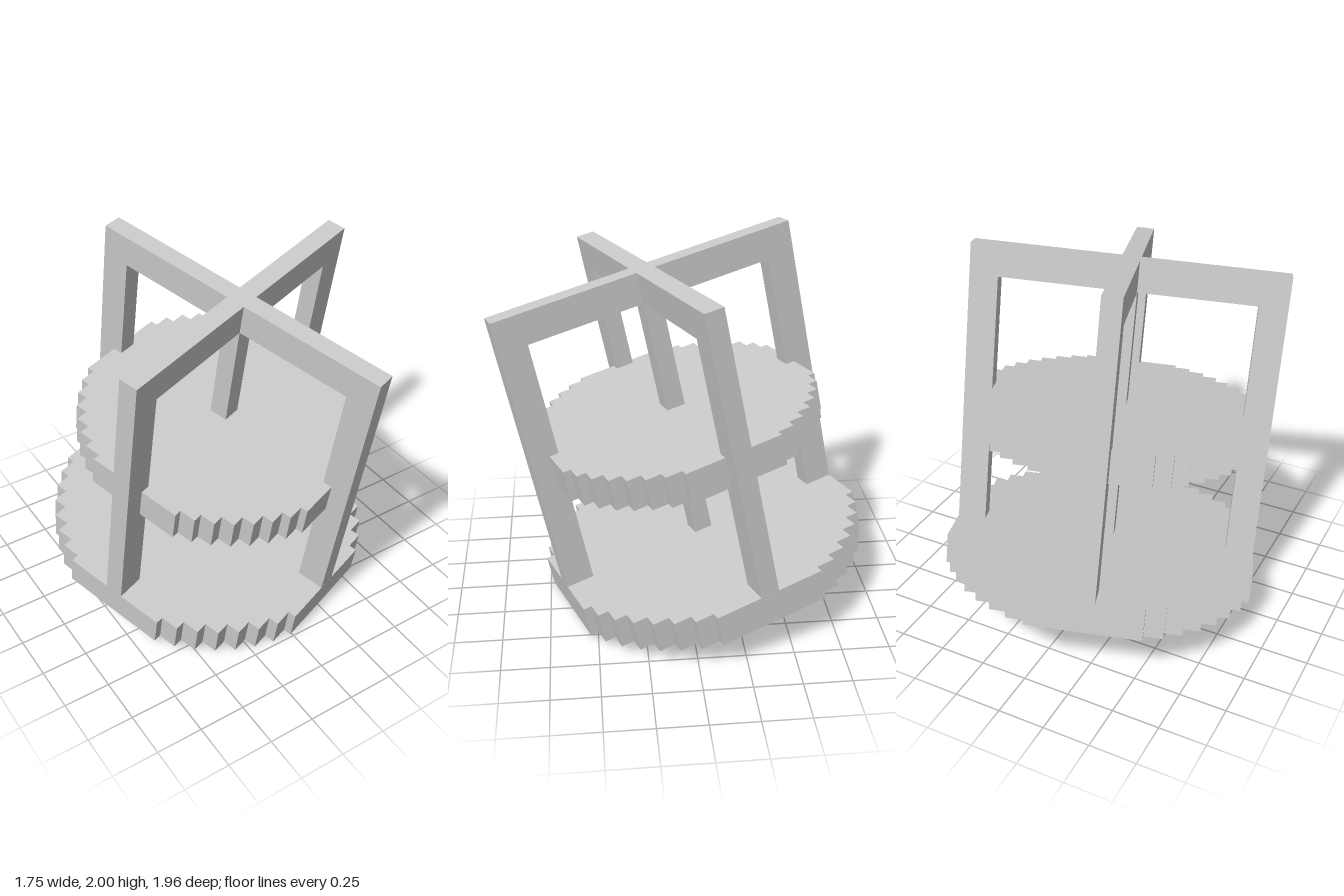
import * as THREE from 'three';

const material = new THREE.MeshStandardMaterial({ color: 0xcccccc, flatShading: true });

const HEIGHT = 1.71;    // full height along the tilted axis
const REACH = 0.82;     // centre to outer face of a leg
const BAR = 0.1;        // bar thickness
const PLATE = 0.168;    // plate thickness

function addMesh(parent, name, geometry) {
  const mesh = new THREE.Mesh(geometry, material);
  mesh.name = name;
  parent.add(mesh);
  return mesh;
}

// Round plate with a stepped rim: flats on four sides, stair teeth between them
function steppedPlate(radius) {
  const steps = 7;
  const start = THREE.MathUtils.degToRad(20);
  const delta = (Math.PI / 2 - 2 * start) / steps;
  const points = [];
  for (let q = 0; q < 4; q++) {
    const pivot = new THREE.Vector2();
    for (let i = 0; i <= steps; i++) {
      const a = start + i * delta;
      points.push(new THREE.Vector2(radius * Math.cos(a), radius * Math.sin(a)).rotateAround(pivot, q * Math.PI / 2));
      if (i < steps) {
        points.push(new THREE.Vector2(radius * Math.cos(a + delta), radius * Math.sin(a)).rotateAround(pivot, q * Math.PI / 2));
      }
    }
  }
  const geometry = new THREE.ExtrudeGeometry(new THREE.Shape(points), { depth: PLATE, bevelEnabled: false });
  return geometry.rotateX(-Math.PI / 2);
}

// L-shaped arm: half of the top beam plus one outer leg
function armGeometry() {
  const inner = REACH - 0.15;
  const beamBottom = HEIGHT - 0.165;
  const shape = new THREE.Shape([
    [BAR / 2, beamBottom], [inner, beamBottom], [inner, PLATE],
    [REACH, PLATE], [REACH, HEIGHT], [BAR / 2, HEIGHT],
  ].map(([x, y]) => new THREE.Vector2(x, y)));
  const geometry = new THREE.ExtrudeGeometry(shape, { depth: BAR, bevelEnabled: false });
  return geometry.translate(0, 0, -BAR / 2);
}

export function createModel() {
  const model = new THREE.Group();
  model.name = 'tieredStand';

  // The whole stand is turned on its axis and leans forward
  const stand = new THREE.Group();
  stand.name = 'leaningStand';
  stand.rotation.set(THREE.MathUtils.degToRad(11.2), THREE.MathUtils.degToRad(19.5), 0);
  stand.position.set(0, 0.17, -0.123);
  model.add(stand);

  // Plates
  addMesh(stand, 'basePlate', steppedPlate(0.873));
  addMesh(stand, 'shelfPlate', steppedPlate(0.766)).position.y = 0.77;

  // Centre post, ending flush with the crossing beams
  const post = new THREE.BoxGeometry(BAR, HEIGHT - PLATE, BAR);
  addMesh(stand, 'centrePost', post).position.y = (HEIGHT + PLATE) / 2;

  // Four arms in a cross
  const arm = armGeometry();
  ['leftArm', 'backArm', 'rightArm', 'frontArm'].forEach((name, i) => {
    addMesh(stand, name, arm).rotation.y = i * Math.PI / 2;
  });

  return model;
}
